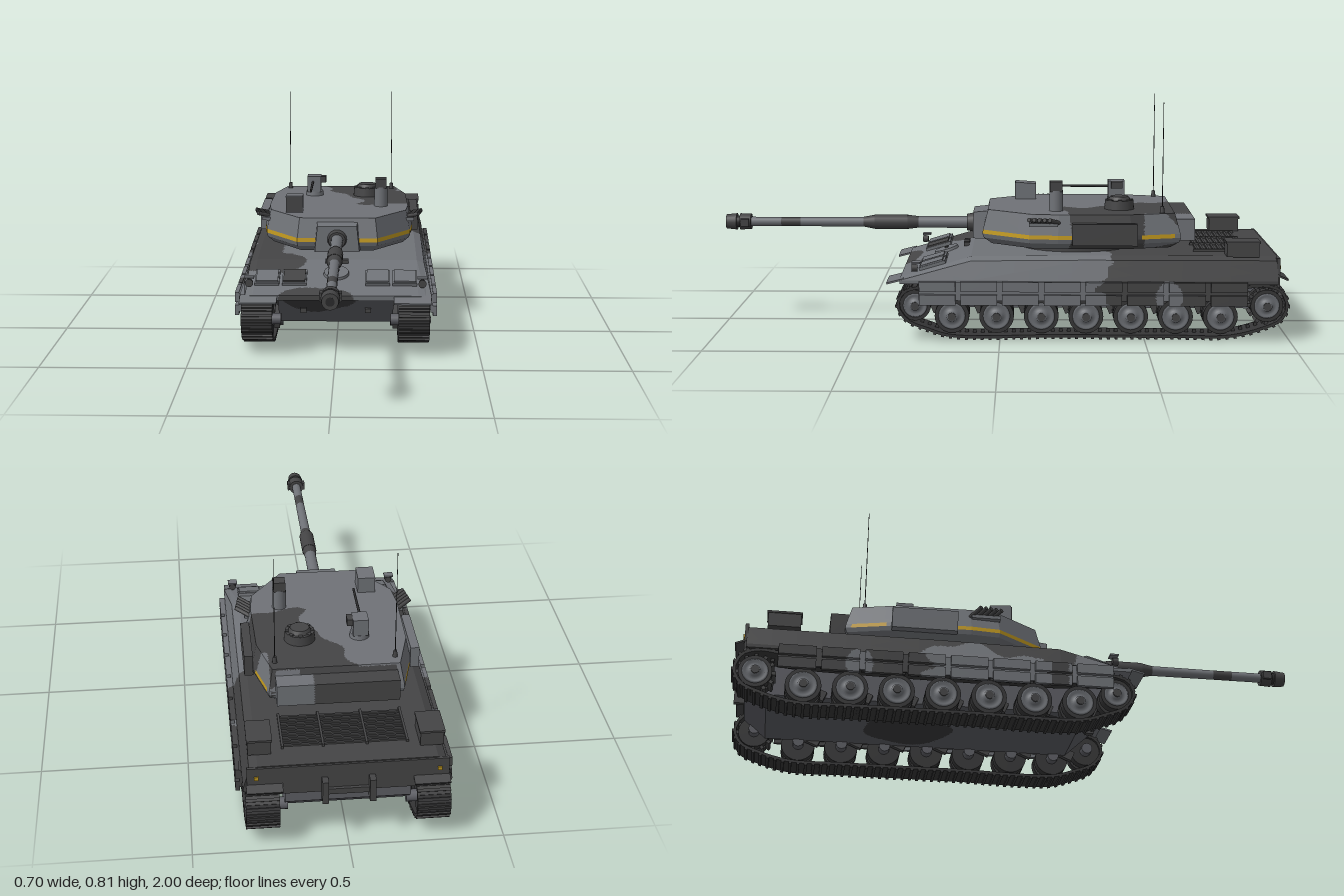
import * as THREE from 'three';
import { mergeGeometries } from 'three/addons/utils/BufferGeometryUtils.js';

const flat = (name, color) => Object.assign(new THREE.MeshStandardMaterial({ color }), { name });

export function createModel() {
  const model = new THREE.Group();
  model.name = 'tank';
  const light = flat('lightGrey', 0x6f7277), dark = flat('darkGrey', 0x444445), black = flat('black', 0x2a2a2b);
  const belly = flat('bellyGrey', 0x5c5d63), steel = flat('wheelGrey', 0x6a6d72), yellow = flat('yellow', 0xc0981f);
  const trackGrey = flat('trackGrey', 0x363637), shade = flat('bellyPatch', 0x39393a);
  const palette = [light, dark, shade, belly, yellow];

  const add = (name, geo, mat, parent = model) => {
    const m = new THREE.Mesh(geo, mat);
    m.name = name;
    parent.add(m);
    return m;
  };
  const boxGeo = (w, h, d, x, y, z, rx = 0) => new THREE.BoxGeometry(w, h, d).rotateX(rx).translate(x, y, z);
  const box = (name, mat, ...a) => add(name, boxGeo(...a), mat);
  // cylinder with its axis along y, x or z
  const cyl = (r1, r2, h, x, y, z, axis = 'y', n = 20) => {
    const g = new THREE.CylinderGeometry(r1, r2, h, n);
    if (axis === 'x') g.rotateZ(-Math.PI / 2);
    if (axis === 'z') g.rotateX(Math.PI / 2);
    return g.translate(x, y, z);
  };

  // closed flat-faced body through rings of equal length
  const loft = (rings) => {
    const n = rings[0].length, pos = [];
    const tri = (a, b, c) => pos.push(...a, ...b, ...c);
    for (let k = 0; k < rings.length - 1; k++) for (let i = 0; i < n; i++) {
      const j = (i + 1) % n, A = rings[k], B = rings[k + 1];
      tri(A[i], A[j], B[j]); tri(A[i], B[j], B[i]);
    }
    const cap = (r, flip) => {
      const c = [0, 1, 2].map(d => r.reduce((s, p) => s + p[d], 0) / n);
      r.forEach((p, i) => flip ? tri(c, r[(i + 1) % n], p) : tri(c, p, r[(i + 1) % n]));
    };
    cap(rings[0], true); cap(rings[rings.length - 1], false);
    // turn inside-out bodies around by their signed volume
    let vol = 0;
    const V = i => new THREE.Vector3().fromArray(pos, i);
    for (let i = 0; i < pos.length; i += 9) vol += V(i).dot(V(i + 3).cross(V(i + 6)));
    if (vol < 0) for (let i = 0; i < pos.length; i += 9) for (let d = 0; d < 3; d++)
      [pos[i + 3 + d], pos[i + 6 + d]] = [pos[i + 6 + d], pos[i + 3 + d]];
    const g = new THREE.BufferGeometry();
    g.setAttribute('position', new THREE.Float32BufferAttribute(pos, 3));
    g.computeVertexNormals();
    return g;
  };

  // paint a body by a rule: split faces along colour borders, then group them by colour
  const paint = (name, geo, rule, fine = 0.012) => {
    const src = geo.index ? geo.toNonIndexed() : geo, p = src.attributes.position;
    const stack = [], bins = palette.map(() => []);
    for (let i = 0; i < p.count; i += 3) stack.push([0, 1, 2].map(k => new THREE.Vector3().fromBufferAttribute(p, i + k)));
    while (stack.length) {
      const t = stack.pop(), L = [0, 1, 2].map(k => t[k].distanceTo(t[(k + 1) % 3]));
      const k = L.indexOf(Math.max(...L)), [a, b, c] = [t[k], t[(k + 1) % 3], t[(k + 2) % 3]];
      const mid = a.clone().add(b).add(c).divideScalar(3), col = rule(mid);
      if (L[k] > 0.09 || (L[k] > fine && t.some(v => rule(v.clone().lerp(mid, 0.05)) !== col))) {
        const m = a.clone().lerp(b, 0.5);
        stack.push([a, m, c], [m, b, c]);
      } else bins[col].push(...a.toArray(), ...b.toArray(), ...c.toArray());
    }
    const g = new THREE.BufferGeometry();
    g.setAttribute('position', new THREE.Float32BufferAttribute(bins.flat(), 3));
    let start = 0;
    bins.forEach((b, i) => { if (b.length) g.addGroup(start, b.length / 3, i); start += b.length / 3; });
    g.computeVertexNormals();
    return add(name, g, palette);
  };
  const wob = (u, v) => 0.025 * Math.sin(17 * u + 3 * v) + 0.012 * Math.sin(41 * u + 11 * v);
  const blob = (u, v, cu, cv, ru, rv) => Math.hypot((u - cu) / ru, (v - cv) / rv) + 4 * wob(u, v) < 1;

  const hullRule = ({ x, y, z }) => {
    if (z < -0.36 + wob(x + y * 3, z)) return blob(y, z, 0.16, -0.58, 0.055, 0.05) && Math.abs(x) > 0.3 ? 0 : 1;
    if (x < -0.2 && y > 0.245 + wob(z, x) && z < 0.14) return 1;
    return blob(x, z, -0.24, 0.1, 0.12, 0.1) || blob(x, z, -0.06, 0.345, 0.13, 0.05) ? 1 : 0;
  };
  const bellyRule = ({ x, y, z }) => z > 0.19
    ? (blob(x, y, -0.05, 0.2, 0.13, 0.06) ? 2 : 3)
    : (blob(x, z, 0.06, -0.38, 0.13, 0.15) || blob(x, z, -0.1, 0.05, 0.08, 0.1) ? 2 : 3);

  // hull: sloping glacis, sponsons and flat engine deck
  const section = (z, top) => {
    const half = [[0.332, 0.195], [0.332, 0.207], [0.312, Math.max(0.208, top - 0.012)], [0.285, top]];
    return [...half, ...half.map(([x, y]) => [-x, y]).reverse()].map(([x, y]) => [x, y, z]);
  };
  paint('upperHull', loft([section(0.345, 0.212), section(0.1, 0.284), section(-0.3, 0.288), section(-0.955, 0.288)]), hullRule);
  const keel = [[0.335, 0.2], [0.21, 0.085], [-0.88, 0.085], [-0.958, 0.15], [-0.958, 0.2]];
  paint('lowerHull', loft([-0.2, 0.2].map(x => keel.map(([z, y]) => [x, y, z]))), bellyRule);
  box('rearPlate', dark, 0.64, 0.1, 0.012, 0, 0.235, -0.956);

  // turret: faceted shell with a painted band
  const outline = [[0.145, 0.065], [0.265, -0.1], [0.275, -0.2], [0.27, -0.46], [0.225, -0.63]];
  const ring = (y, s) => {
    const h = outline.map(([x, z]) => [x * s, y, (z + 0.27) * s - 0.27]);
    return [...h, ...h.map(([x, yy, z]) => [-x, yy, z]).reverse()];
  };
  const turretRule = ({ x, y, z }) => {
    const band = y > 0.34 && y < 0.354 && Math.abs(x) > 0.07;
    if (band && (z > -0.25 || (z < -0.49 && z > -0.61))) return 4;
    if (z < -0.59 && Math.abs(x) < 0.2 && y < 0.42) return x > 0.12 ? 0 : 1;
    if (x > 0.22 && z < -0.5) return 0;
    return z < -0.24 + wob(x, z) && x > -0.1 + 0.16 * Math.sin(Math.min(1, (z + 0.62) * 3.2) * 1.6) + wob(z, x) ? 1 : 0;
  };
  paint('turret', loft([ring(0.303, 0.9), ring(0.325, 0.985), ring(0.34, 1), ring(0.354, 0.995), ring(0.425, 0.94)]), turretRule);
  add('turretRing', cyl(0.22, 0.22, 0.03, 0, 0.292, -0.27, 'y', 36), dark);
  paint('bustleBin', boxGeo(0.405, 0.075, 0.07, 0, 0.365, -0.645), ({ x }) => x > 0.08 ? 0 : 1);

  // mantlet and gun
  const mant = (z, w, t, b) => [[-w, b, z], [w, b, z], [w * 0.88, t, z], [-w * 0.88, t, z]];
  add('mantlet', loft([mant(0.0, 0.085, 0.415, 0.308), mant(0.1, 0.08, 0.405, 0.312)]), light);
  add('gunCollar', cyl(0.03, 0.036, 0.03, 0, 0.358, 0.11, 'z'), dark);
  const tube = [[0.1, 0.3, 0.021, 0.022, light], [0.3, 0.34, 0.026, 0.021, dark], [0.34, 0.46, 0.027, 0.027, dark],
    [0.46, 0.5, 0.018, 0.026, dark], [0.5, 0.73, 0.017, 0.018, light], [0.73, 0.8, 0.017, 0.017, dark],
    [0.8, 0.91, 0.017, 0.017, light], [0.91, 0.95, 0.03, 0.028, dark], [0.95, 0.962, 0.021, 0.021, black], [0.962, 1, 0.026, 0.03, dark]];
  tube.forEach(([a, b, rf, rb, m], i) => add('gunBarrel' + (i + 1), cyl(rf, rb, b - a, 0, 0.358, (a + b) / 2, 'z'), m));
  add('bore', cyl(0.014, 0.014, 0.002, 0, 0.358, 0.9995, 'z'), black);
  box('muzzleBaffle', dark, 0.07, 0.028, 0.03, 0, 0.358, 0.93);

  // sights, cupola and machine gun
  const sight = (z, w) => [[-0.191, 0.42, z], [-0.129, 0.42, z], [-0.129, w, z], [-0.191, w, z]];
  add('gunnerSight', loft([sight(-0.125, 0.482), sight(-0.05, 0.487)]), light);
  box('gunnerSightGlass', dark, 0.058, 0.056, 0.004, -0.16, 0.456, -0.049);
  add('periscopeColumn', cyl(0.024, 0.025, 0.075, 0.157, 0.46, -0.195), light);
  box('periscopeHead', dark, 0.042, 0.035, 0.045, 0.157, 0.512, -0.195);
  add('cupola', cyl(0.05, 0.053, 0.034, 0.105, 0.44, -0.42, 'y', 24), dark);
  add('cupolaHatch', cyl(0.032, 0.04, 0.014, 0.105, 0.463, -0.42, 'y', 24), dark);
  for (let i = 0; i < 8; i++) {
    const a = i * Math.PI / 4;
    add('cupolaPrism', boxGeo(0.014, 0.01, 0.012, 0, 0.455, 0.043).rotateY(a).translate(0.105, 0, -0.42), dark);
  }
  add('gunPedestal', cyl(0.032, 0.034, 0.018, -0.098, 0.433, -0.42, 'y', 24), light);
  box('machineGunMount', light, 0.052, 0.06, 0.06, -0.1, 0.47, -0.42);
  box('ammoBox', dark, 0.022, 0.024, 0.04, -0.065, 0.487, -0.42);
  add('machineGun', cyl(0.004, 0.005, 0.2, -0.105, 0.478, -0.29, 'z', 8), black);

  // track path seen from the side, as z and y
  const path = new THREE.CatmullRomCurve3([[0.17, 0.012], [0.25, 0.035], [0.32, 0.066], [0.35, 0.112], [0.336, 0.158], [0.29, 0.178],
    [0.1, 0.172], [-0.4, 0.172], [-0.8, 0.18], [-0.915, 0.19], [-0.966, 0.17], [-0.987, 0.12], [-0.966, 0.072], [-0.9, 0.04],
    [-0.79, 0.013], [-0.6, 0.012], [-0.2, 0.012]].map(([z, y]) => new THREE.Vector3(0, y, z)), true);
  // each link has a plate, an outer grouser and an inner guide horn
  const links = [], count = 104;
  path.getSpacedPoints(count).slice(0, count).forEach((p, i) => {
    const t = path.getTangentAt(i / count), a = Math.atan2(-t.y, t.z);
    for (const [w, h, d, off] of [[0.108, 0.01, 0.0285, 0], [0.108, 0.008, 0.01, -0.007], [0.012, 0.014, 0.012, 0.009]])
      links.push(boxGeo(w, h, d, 0, off, 0).rotateX(a).translate(0, p.y, p.z));
  });
  const trackGeo = mergeGeometries(links);

  const wheelFace = new THREE.LatheGeometry([[0.048, 0.03], [0.048, 0.046], [0.042, 0.049], [0.036, 0.044], [0.022, 0.046], [0.019, 0.056], [0, 0.056]]
    .map(([r, h]) => new THREE.Vector2(r, h)), 24).rotateZ(-Math.PI / 2);
  const wheel = (name, s, z, y, r) => {
    const g = new THREE.Group();
    g.name = name;
    g.position.set(s * 0.27, y, z);
    if (s < 0) g.rotation.y = Math.PI;
    model.add(g);
    add('outerTyre', cyl(r, r, 0.034, 0.027, 0, 0, 'x', 24), trackGrey, g);
    add('innerTyre', cyl(r, r, 0.034, -0.027, 0, 0, 'x', 24), trackGrey, g);
    add('axle', cyl(0.02, 0.02, 0.1, -0.03, 0, 0, 'x', 12), belly, g);
    add('disc', wheelFace, steel, g).scale.set(1, r / 0.062, r / 0.062);
    add('hubCap', cyl(0.014, 0.014, 0.004, 0.058, 0, 0, 'x', 12), dark, g);
    return g;
  };

  for (const s of [1, -1]) {
    // running gear
    add('track', trackGeo, trackGrey).position.x = s * 0.272;
    for (let i = 0; i < 7; i++) {
      wheel('roadWheel', s, 0.166 - i * 0.1545, 0.079, 0.06);
      box('suspensionArm', dark, 0.02, 0.035, 0.09, s * 0.208, 0.1, 0.2 - i * 0.1545, 0.4);
    }
    wheel('idler', s, 0.293, 0.116, 0.054);
    const sprocket = wheel('sprocket', s, -0.92, 0.118, 0.056);
    for (let i = 0; i < 12; i++)
      add('tooth', boxGeo(0.07, 0.016, 0.012, 0, 0.06, 0).rotateX(i * Math.PI / 6), dark, sprocket);

    // side skirts: backing plate with two rows of raised panels
    paint('skirt', boxGeo(0.008, 0.065, 1.13, s * 0.334, 0.17, -0.285), hullRule);
    for (let i = 0; i < 8; i++) for (const [y, h] of [[0.188, 0.034], [0.142, 0.036]])
      paint('skirtPanel', boxGeo(0.014, h, 0.125, s * 0.345, y, 0.215 - i * 0.143), hullRule);

    // mudguards, glacis bins and headlamps
    box('frontMudguard', light, 0.128, 0.006, 0.06, s * 0.265, 0.202, 0.362, 0.25);
    box('rearMudguard', dark, 0.115, 0.006, 0.04, s * 0.265, 0.218, -0.972, -0.4);
    for (const x of [0.145, 0.24]) {
      box('glacisBin', light, 0.085, 0.014, 0.095, s * x, 0.248, 0.235, 0.29);
      box('glacisBinLid', s < 0 && x < 0.2 ? dark : light, 0.076, 0.006, 0.08, s * x, 0.257, 0.238, 0.29);
    }
    add('headlamp', cyl(0.014, 0.012, 0.02, s * 0.3, 0.245, 0.295, 'z', 16), dark);
    box('headlampGuard', light, 0.034, 0.006, 0.03, s * 0.3, 0.264, 0.29);
    box('frontTowHook', dark, 0.02, 0.016, 0.03, s * 0.112, 0.147, 0.285);
    box('driverPeriscope', dark, 0.022, 0.014, 0.02, s * 0.03, 0.284, 0.125);

    // rear boxes, lamps and tow brackets
    box('rearBin', dark, 0.075, 0.05, 0.11, s * 0.275, 0.313, -0.835);
    box('rearBinLid', dark, 0.082, 0.007, 0.118, s * 0.275, 0.339, -0.835);
    box('rearTowBracket', dark, 0.02, 0.08, 0.04, s * 0.075, 0.2, -0.975);
    box('rearLamp', yellow, 0.014, 0.012, 0.006, s * 0.29, 0.25, -0.964);

    // turret side boxes, smoke tubes and aerials
    box('turretSideBin', s > 0 ? dark : light, 0.03, 0.075, 0.225, s * 0.282, 0.36, -0.362);
    box('smokeBracket', light, 0.03, 0.012, 0.1, s * 0.265, 0.392, -0.15);
    const aim = new THREE.Vector3(s * 0.75, 0.25, 0.5).normalize();
    for (let i = 0; i < 5; i++) {
      const t = add('smokeTube', new THREE.CylinderGeometry(0.0075, 0.0075, 0.06, 10), dark);
      t.position.set(s * (0.272 + i * 0.003), 0.405, -0.115 - i * 0.018);
      t.quaternion.setFromUnitVectors(new THREE.Vector3(0, 1, 0), aim);
    }
    add('aerialBase', cyl(0.006, 0.009, 0.025, s * 0.2, 0.435, -0.565, 'y', 10), dark);
    add('aerial', cyl(0.001, 0.0016, 0.375, s * 0.2, 0.6225, -0.565, 'y', 6), black);
  }

  // driver's hatch and engine deck
  const hatch = add('driverHatch', cyl(0.043, 0.046, 0.012, 0, 0, 0, 'y', 28), light);
  hatch.position.set(0, 0.258, 0.2);
  hatch.rotation.x = 0.29;
  box('hatchHandle', dark, 0.02, 0.006, 0.012, 0, 0.266, 0.2, 0.29);
  for (let i = 0; i < 9; i++) box('engineSlat', dark, 0.4, 0.006, 0.008, 0, 0.291, -0.69 - i * 0.02);
  for (const x of [-0.2, -0.07, 0.07, 0.2]) box('grilleRail', dark, 0.008, 0.01, 0.19, x, 0.292, -0.77);
  box('towCrossbar', dark, 0.17, 0.02, 0.014, 0, 0.19, -0.966);
  return model;
}
